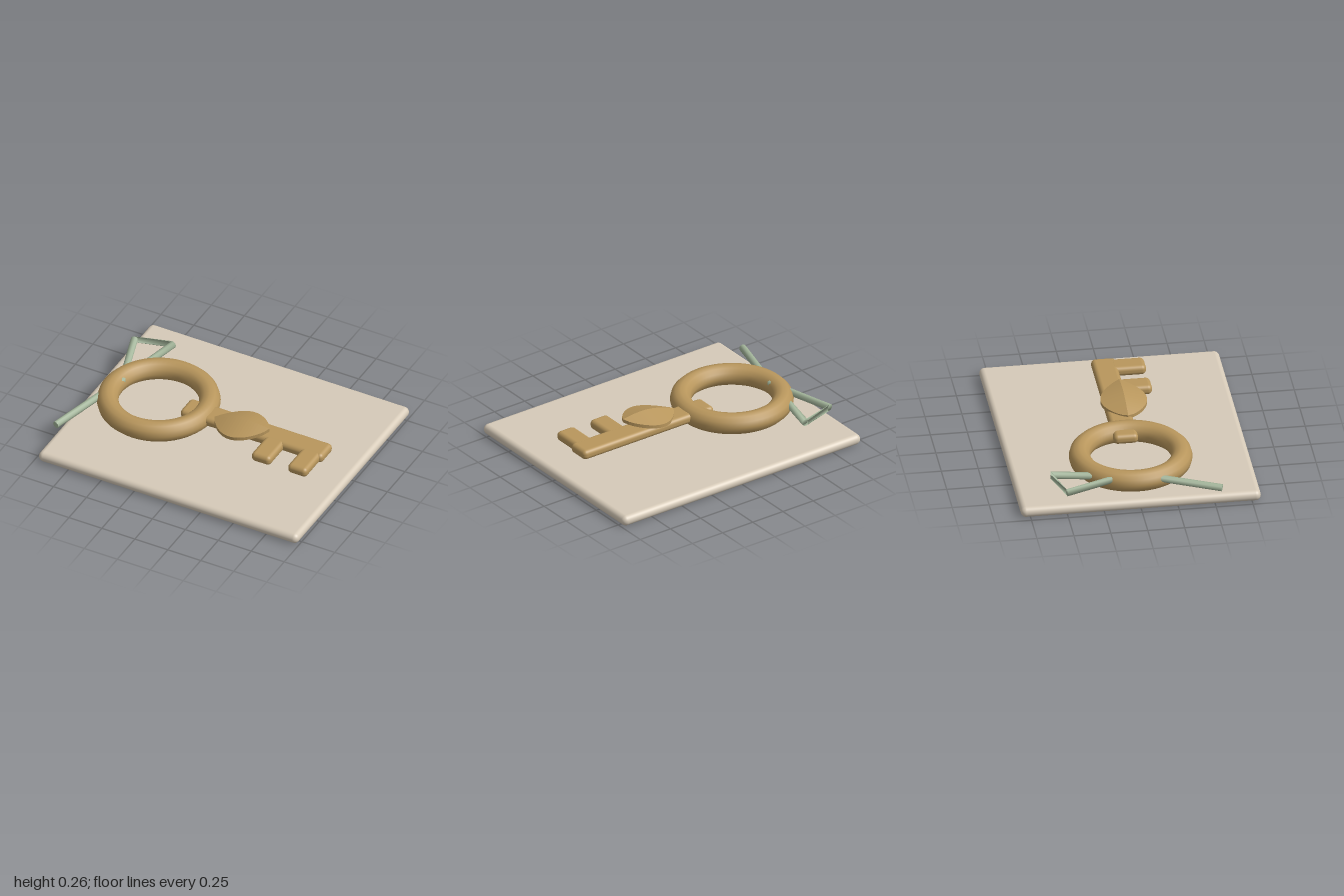
import * as THREE from 'three';
import { RoundedBoxGeometry } from 'three/addons/geometries/RoundedBoxGeometry.js';

const V = (x, y, z) => new THREE.Vector3(x, y, z);

function meshFrom(points, index) {
  const g = new THREE.BufferGeometry().setFromPoints(points);
  g.setIndex(index);
  const flat = g.toNonIndexed();
  g.computeVertexNormals();
  flat.computeVertexNormals();
  return { smooth: g, flat };
}

// Bent cord: rings at each station, square to the given direction
function cordGeometry(stations, r, sides = 10) {
  const pts = [], idx = [], up = V(0, 1, 0);
  for (const [p, dir] of stations) {
    const t = dir.clone().normalize();
    const side = t.clone().cross(up).normalize();
    const top = side.clone().cross(t);
    for (let j = 0; j < sides; j++) {
      const a = (j / sides) * Math.PI * 2;
      pts.push(p.clone().addScaledVector(side, r * Math.cos(a)).addScaledVector(top, r * Math.sin(a)));
    }
  }
  for (let i = 0; i < stations.length - 1; i++) {
    for (let j = 0; j < sides; j++) {
      const k = (j + 1) % sides, a = i * sides + j, b = i * sides + k;
      idx.push(a, a + sides, b, b, a + sides, b + sides);
    }
  }
  // End caps with their own vertices
  const n = stations.length - 1;
  const first = pts.length;
  for (let j = 0; j < sides; j++) pts.push(pts[j].clone());
  const last = pts.length;
  for (let j = 0; j < sides; j++) pts.push(pts[n * sides + j].clone());
  for (let j = 1; j < sides - 1; j++) {
    idx.push(first, first + j, first + j + 1, last, last + j + 1, last + j);
  }
  return meshFrom(pts, idx).smooth;
}

// Folded leaf with a raised midrib, tilted up toward +x
function leafGeometry() {
  const N = 20, thick = 0.024, pts = [], idx = [];
  for (let i = 0; i <= N; i++) {
    const u = i / N, s = Math.sin(Math.PI * u);
    const w = 0.157 * Math.pow(Math.max(s, 0), 0.75);
    const x = -0.035 + 0.415 * u;
    const y = 0.202 + 0.048 * u + 0.034 * s;
    const edge = y - 0.048 * (w / 0.157);
    pts.push(
      V(x, edge, 0.047 + w), V(x, y, 0.047), V(x, edge, 0.047 - w),
      V(x, edge - thick, 0.047 - w), V(x, y - thick, 0.047), V(x, edge - thick, 0.047 + w));
  }
  for (let i = 0; i < N; i++) {
    for (let j = 0; j < 6; j++) {
      const a = i * 6 + j, b = i * 6 + (j + 1) % 6;
      idx.push(a, a + 6, b, b, a + 6, b + 6);
    }
  }
  return meshFrom(pts, idx).flat;
}

export function createModel() {
  const model = new THREE.Group();
  const mat = (name, color, side = THREE.FrontSide) => {
    const m = new THREE.MeshStandardMaterial({ color, side });
    m.name = name;
    return m;
  };
  const stone = mat('pale stone', 0xd6cab8);
  const brass = mat('brass', 0xb8965c);
  const sage = mat('sage green', 0xa3b59a, THREE.DoubleSide);

  const add = (name, geo, material, x = 0, y = 0, z = 0) => {
    const m = new THREE.Mesh(geo, material);
    m.name = name;
    m.position.set(x, y, z);
    model.add(m);
    return m;
  };

  // Base slab
  add('slab', new RoundedBoxGeometry(1.97, 0.075, 1.625, 4, 0.037), stone, 0.01, 0.0375, -0.002);

  // Key bow
  const ring = new THREE.TorusGeometry(0.342, 0.073, 12, 64).rotateX(-Math.PI / 2);
  add('keyRing', ring, brass, -0.485, 0.148, -0.003);

  // Key shaft and its two teeth
  add('keyShaft', new RoundedBoxGeometry(1.08, 0.07, 0.167, 4, 0.03), brass, 0.255, 0.154, -0.002);
  for (const x of [0.428, 0.703]) {
    add('keyTooth', new RoundedBoxGeometry(0.145, 0.07, 0.24, 4, 0.03), brass, x, 0.154, 0.15);
  }

  // Leaf resting on the shaft
  add('leaf', leafGeometry(), brass);

  // Cord passing through the bow, folded back on itself
  const p = [V(-0.975, 0.13, 0.545), V(-0.782, 0.178, -0.04), V(-0.935, 0.155, -0.5),
    V(-0.68, 0.155, -0.573), V(-0.75, 0.16, -0.25)];
  const d = (a, b) => p[b].clone().sub(p[a]);
  add('cord', cordGeometry([
    [p[0], d(0, 1)], [p[1], V(0, 0, -1)], [p[2], d(1, 2)], [p[3], d(3, 4)], [p[4], d(3, 4)],
  ], 0.025), sage);

  return model;
}
